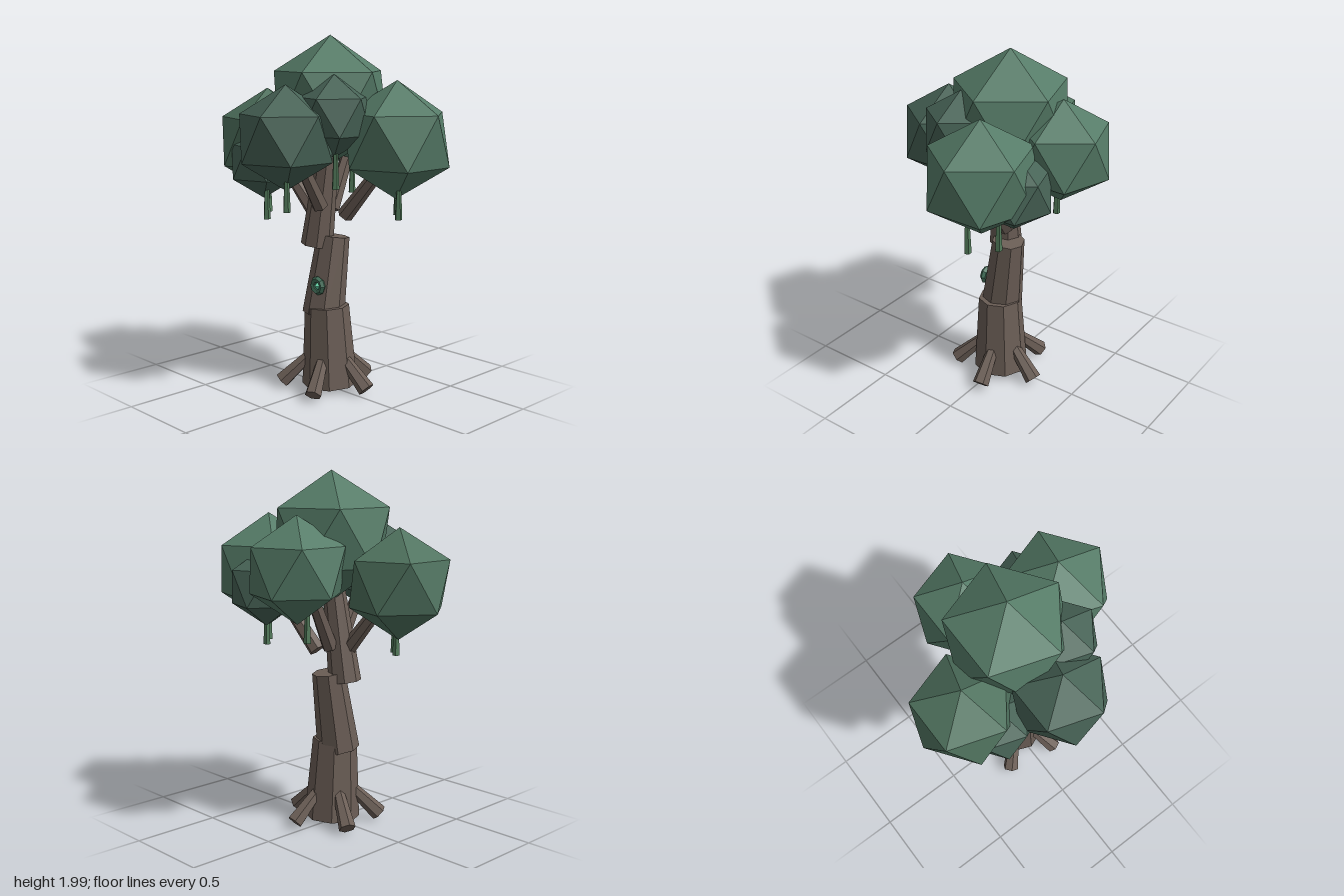
import * as THREE from 'three';
import { ConvexGeometry } from 'three/addons/geometries/ConvexGeometry.js';

const material = (color) => new THREE.MeshStandardMaterial({ color, flatShading: true });

// Icosahedron of unit radius standing on one of its corners
function icosahedron() {
  const points = [new THREE.Vector3(0, 1, 0), new THREE.Vector3(0, -1, 0)];
  const h = 1 / Math.sqrt(5);
  for (let i = 0; i < 10; i++) {
    const a = i * Math.PI / 5;
    points.push(new THREE.Vector3(2 * h * Math.cos(a), i % 2 ? -h : h, 2 * h * Math.sin(a)));
  }
  return new ConvexGeometry(points);
}

// Tapered faceted log running from point a to point b
function log(name, a, b, ra, rb, sides, mat) {
  const start = new THREE.Vector3(...a), end = new THREE.Vector3(...b);
  const axis = end.clone().sub(start);
  const mesh = new THREE.Mesh(new THREE.CylinderGeometry(rb, ra, axis.length(), sides), mat);
  mesh.position.copy(start).add(end).multiplyScalar(0.5);
  mesh.quaternion.setFromUnitVectors(new THREE.Vector3(0, 1, 0), axis.normalize());
  mesh.name = name;
  return mesh;
}

export function createModel() {
  const tree = new THREE.Group();
  tree.name = 'tree';
  const bark = material(0x6b5e56);
  const lightLeaf = material(0x567c68);
  const midLeaf = material(0x50735f);
  const darkLeaf = material(0x486457);
  const vineGreen = material(0x527a5a);

  // Trunk: three stepped, slightly leaning sections
  tree.add(
    log('lowerTrunk', [0.015, 0.04, -0.003], [0.005, 0.5, 0.01], 0.157, 0.125, 8, bark),
    log('middleTrunk', [-0.018, 0.445, 0.015], [0, 0.892, -0.045], 0.12, 0.092, 8, bark),
    log('upperTrunk', [-0.065, 0.84, 0.02], [-0.005, 1.35, -0.005], 0.092, 0.062, 8, bark),
  );

  // Five roots splayed around the base
  for (let i = 0; i < 5; i++) {
    const a = (-9 + 72 * i) * Math.PI / 180;
    const at = (r, y) => [0.008 + r * Math.cos(a), y, r * Math.sin(a)];
    tree.add(log('root', at(0.1, 0.21), at(0.265, 0.05), 0.032, 0.048, 6, bark));
  }

  // Branches reaching into the leaf clumps
  const branches = [
    [[0.065, 1.01, -0.07], [0.32, 1.33, -0.13]],
    [[-0.06, 1.0, 0.02], [-0.28, 1.28, 0.07]],
    [[0.005, 1.07, 0.06], [0.025, 1.35, 0.24]],
    [[-0.03, 1.04, -0.06], [-0.06, 1.36, -0.23]],
  ];
  for (const [a, b] of branches) tree.add(log('branch', a, b, 0.046, 0.034, 6, bark));

  // Leaf clumps: x, y, z, radius, material
  const clumps = [
    [-0.02, 1.65, -0.04, 0.355, lightLeaf],
    [-0.4, 1.41, 0.09, 0.3, midLeaf],
    [0.38, 1.45, -0.145, 0.318, lightLeaf],
    [0.03, 1.468, 0.335, 0.28, darkLeaf],
    [-0.07, 1.49, -0.34, 0.288, lightLeaf],
    [0.183, 1.58, 0.13, 0.22, darkLeaf],
    [-0.285, 1.31, 0.22, 0.207, darkLeaf],
    [0.265, 1.37, -0.27, 0.22, darkLeaf],
  ];
  const clumpShape = icosahedron();
  for (const [x, y, z, r, mat] of clumps) {
    const clump = new THREE.Mesh(clumpShape, mat);
    clump.name = 'leafClump';
    clump.position.set(x, y, z);
    clump.scale.setScalar(r);
    tree.add(clump);
  }

  // Hanging vines: x, lower end y, z
  const vines = [
    [-0.34, 1.01, 0.14], [-0.222, 0.995, 0.255], [0.09, 1.085, 0.385], [0.205, 1.195, 0.14],
    [0.325, 1.03, -0.215], [0.44, 1.03, -0.1], [-0.1, 1.1, -0.295],
  ];
  for (const [x, y, z] of vines) {
    tree.add(log('vine', [x, y, z], [x, y + 0.24, z], 0.021, 0.011, 5, vineGreen));
  }

  // Ring and gem set into the front of the trunk
  const ring = new THREE.Mesh(new THREE.TorusGeometry(0.037, 0.018, 5, 8), material(0x43705a));
  ring.name = 'gemRing';
  ring.position.set(0.02, 0.627, 0.095);
  const gem = new THREE.Mesh(new THREE.OctahedronGeometry(0.025), material(0x5fd6a8));
  gem.name = 'gem';
  gem.position.set(0.02, 0.627, 0.095);
  tree.add(ring, gem);

  return tree;
}
